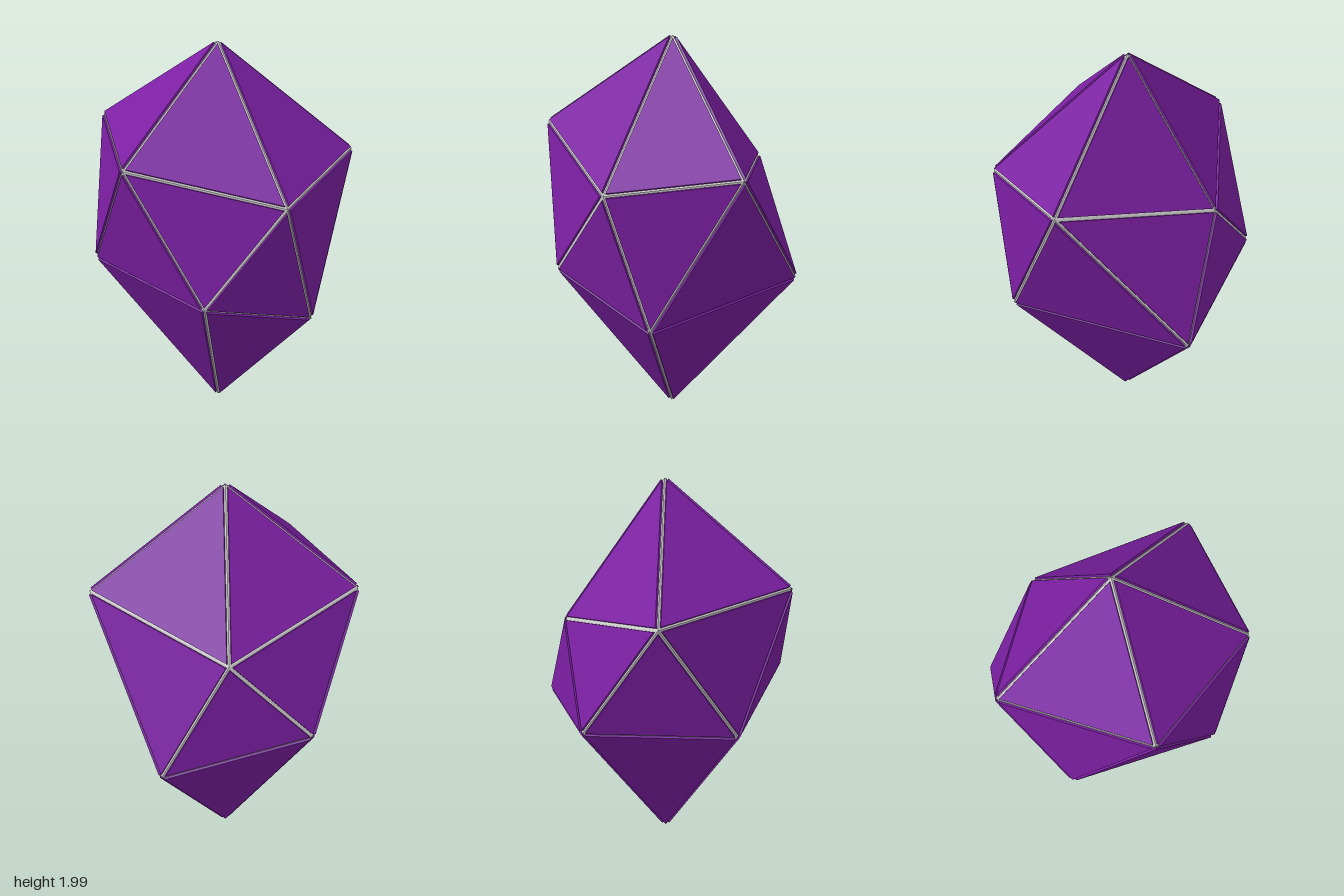
import * as THREE from 'three';

const GAP = 0.008; // inset of each panel from the edges of its facet
const LIFT = 0.01; // height of each panel above the core

// Irregular icosahedral crystal: two tips and two staggered rings of five
const V = (x, y, z) => new THREE.Vector3(x, y, z);
const top = V(0, 1.995, -0.015);
const bottom = V(0, 0.005, -0.01);
const upper = [V(0.17, 1.43, 0.585), V(0.6, 1.5, 0.17), V(0.17, 1.35, -0.455), V(-0.495, 1.56, -0.375), V(-0.495, 1.56, 0.335)];
const lower = [V(-0.19, 0.955, 0.565), V(0.34, 0.785, 0.48), V(0.485, 0.79, -0.405), V(-0.19, 0.955, -0.59), V(-0.605, 0.955, -0.02)];

// All facets, counter-clockwise from outside
function facets() {
  const list = [];
  for (let i = 0; i < 5; i++) {
    const j = (i + 1) % 5;
    list.push(
      [top, upper[i], upper[j]],
      [upper[i], lower[i], lower[j]],
      [upper[i], lower[j], upper[j]],
      [bottom, lower[j], lower[i]]
    );
  }
  return list;
}

function meshFrom(points, name, color) {
  const geometry = new THREE.BufferGeometry().setFromPoints(points);
  geometry.computeVertexNormals();
  const mesh = new THREE.Mesh(geometry, new THREE.MeshStandardMaterial({ color, flatShading: true }));
  mesh.name = name;
  return mesh;
}

// Raised plate: the facet shrunk evenly toward its incentre, with side walls
function panel([a, b, c]) {
  const la = b.distanceTo(c), lb = c.distanceTo(a), lc = a.distanceTo(b);
  const perimeter = la + lb + lc;
  const triangle = new THREE.Triangle(a, b, c);
  const inradius = (2 * triangle.getArea()) / perimeter;
  const centre = V(0, 0, 0).addScaledVector(a, la).addScaledVector(b, lb).addScaledVector(c, lc).divideScalar(perimeter);
  const normal = triangle.getNormal(V(0, 0, 0));
  const base = [a, b, c].map((p) => p.clone().lerp(centre, GAP / inradius));
  const face = base.map((p) => p.clone().addScaledVector(normal, LIFT));
  const points = [...face];
  for (let i = 0; i < 3; i++) {
    const j = (i + 1) % 3;
    points.push(base[i], base[j], face[j], base[i], face[j], face[i]);
  }
  return points;
}

export function createModel() {
  const group = new THREE.Group();
  group.name = 'crystal';
  const faces = facets();

  // Grey core, seen as thin seams between the panels
  group.add(meshFrom(faces.flat(), 'core', 0xcccccc));

  // Purple panels
  const panels = new THREE.Group();
  panels.name = 'panels';
  faces.forEach((f, i) => panels.add(meshFrom(panel(f), `panel${i + 1}`, 0x7b1fa2)));
  group.add(panels);
  return group;
}
